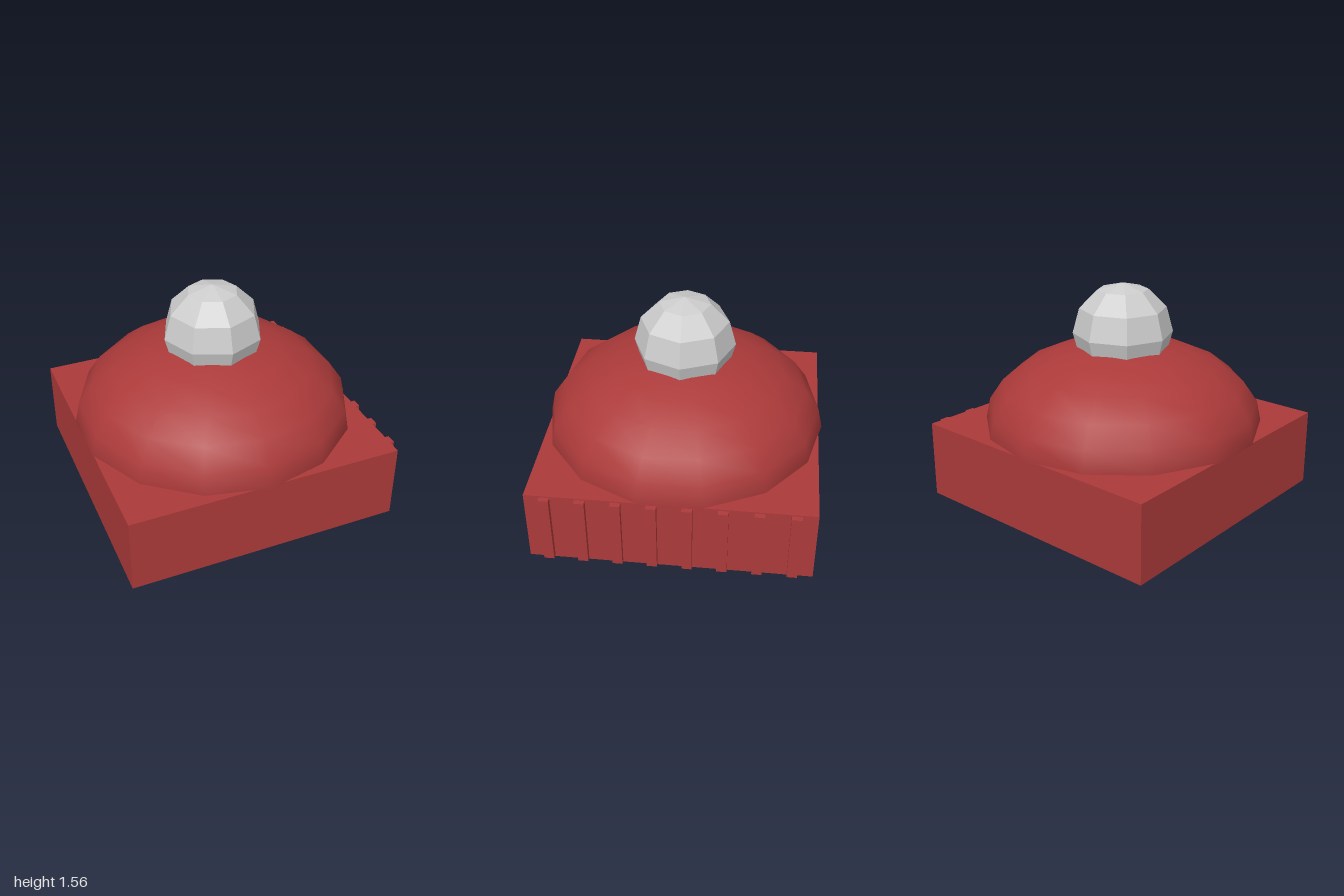
import * as THREE from 'three';

const red = new THREE.MeshStandardMaterial({ color: 0xac3a3a });
red.name = 'red';
const grey = new THREE.MeshStandardMaterial({ color: 0xcccccc });
grey.name = 'light grey';
grey.flatShading = true;

const CX = -0.02; // the ribs on one side shift the body off centre

function add(parent, name, geometry, material, x, y, z) {
  const mesh = new THREE.Mesh(geometry, material);
  mesh.name = name;
  mesh.position.set(x, y, z);
  parent.add(mesh);
  return mesh;
}

export function createModel() {
  const model = new THREE.Group();
  model.name = 'domedButton';

  // square base block
  add(model, 'base', new THREE.BoxGeometry(1.945, 0.55, 1.95), red, CX, 0.275, 0);

  // row of grip ribs on the left side
  const ribs = new THREE.Group();
  ribs.name = 'ribs';
  model.add(ribs);
  const ribGeometry = new THREE.BoxGeometry(0.05, 0.525, 0.07);
  for (let i = 0; i < 8; i++) {
    add(ribs, 'rib', ribGeometry, red, 0.965, 0.2775, (i - 3.5) * 0.238);
  }

  // smooth flattened dome, 14-sided with corners on the z axis
  const domeGeometry = new THREE.SphereGeometry(1, 14, 6, 0, Math.PI * 2, 0, Math.PI / 2);
  domeGeometry.rotateY(Math.PI / 2).scale(1, 0.6, 1);
  add(model, 'dome', domeGeometry, red, CX, 0.54, 0);

  // underside that closes the dome where its tips overhang the base
  const rim = new THREE.CircleGeometry(1, 14, Math.PI / 2).rotateX(Math.PI / 2);
  add(model, 'domeUnderside', rim, red, CX, 0.54, 0);

  // faceted knob
  add(model, 'knob', new THREE.SphereGeometry(0.355, 8, 6), grey, CX, 1.205, 0);

  return model;
}
